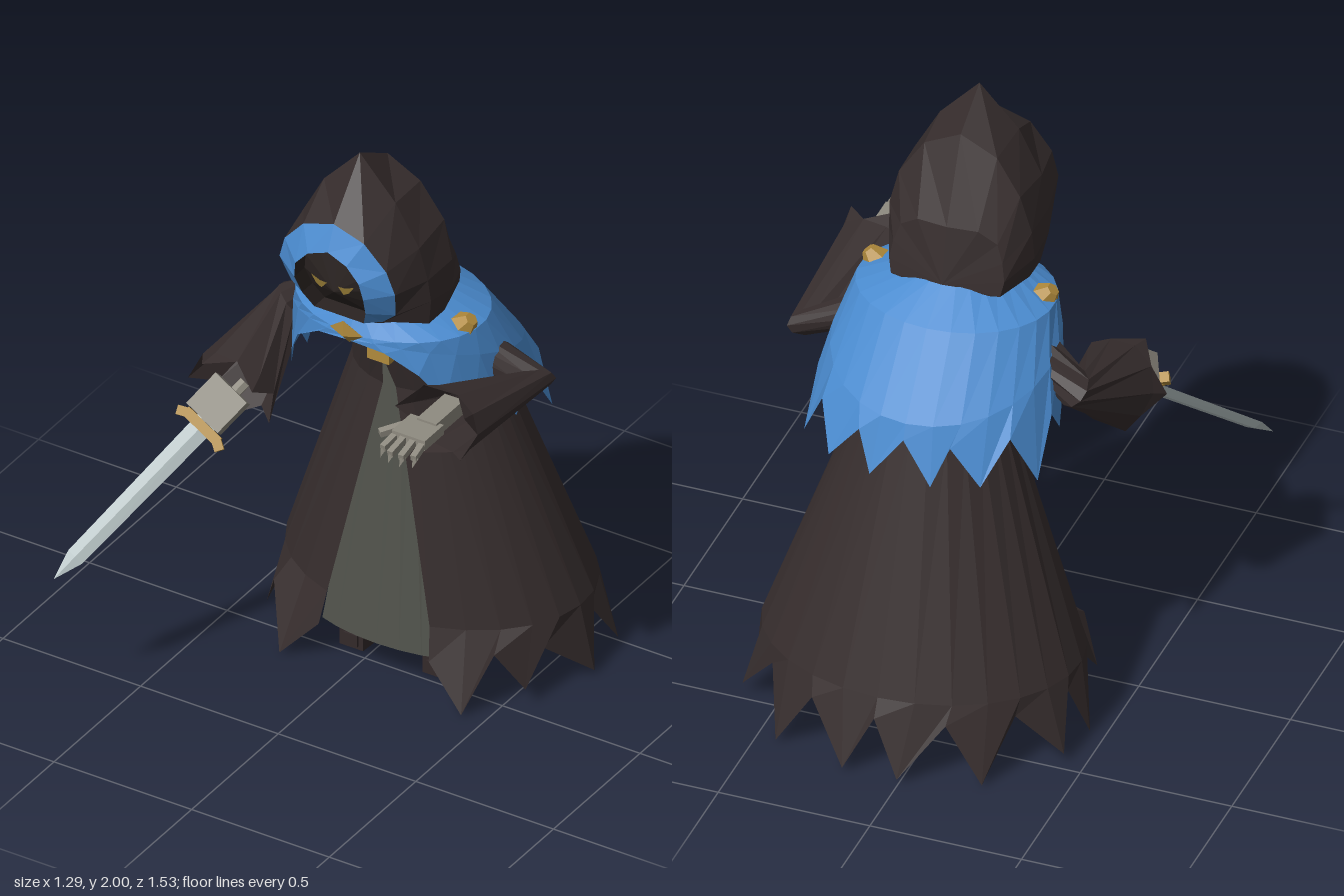
import * as THREE from 'three';

const CX = 0.095; // centre line of the body
const mat = (name, color) => new THREE.MeshStandardMaterial({ name, color, side: THREE.DoubleSide });
const M = {
  robe: mat('dark robe cloth', 0x362d2d),
  cape: mat('blue cloth', 0x4a8bcf),
  skirt: mat('grey cloth', 0x50524b),
  skin: mat('grey skin', 0x8f8b80),
  steel: mat('steel', 0xb4c0c1),
  gold: mat('gold', 0xb08a3c),
  eye: mat('dim amber', 0x8a7230),
  face: mat('shadowed face', 0x2a2321),
  boot: mat('boot leather', 0x33292a),
};

// flat-faced mesh
function part(name, geo, material, pos = [0, 0, 0], rot = [0, 0, 0]) {
  const g = geo.index ? geo.toNonIndexed() : geo;
  g.computeVertexNormals();
  const m = new THREE.Mesh(g, material);
  m.name = name;
  m.position.set(...pos);
  m.rotation.set(...rot);
  return m;
}

// skin a list of equal-length cross-sections
function loft(rings, closed = true) {
  const n = rings[0].length, pos = rings.flat(2), idx = [];
  for (let r = 0; r + 1 < rings.length; r++) {
    for (let i = 0; i < (closed ? n : n - 1); i++) {
      const a = r * n + i, b = r * n + (i + 1) % n;
      idx.push(a, b, a + n, b, b + n, a + n);
    }
  }
  const g = new THREE.BufferGeometry();
  g.setAttribute('position', new THREE.Float32BufferAttribute(pos, 3));
  g.setIndex(idx);
  return g;
}

// mirror half a section about the body centre line; `open` keeps both front edges
function mirror(half, open = false) {
  const other = half.slice(open ? 0 : 1, -1).reverse();
  return [...half.map(([x, y, z]) => [CX + x, y, z]), ...other.map(([x, y, z]) => [CX - x, y, z])];
}

// half ellipse from the front (angle t0) round to the back (angle t1)
function arc(n, rx, zFront, zBack, yFront, yBack, t0 = 0, t1 = Math.PI) {
  return Array.from({ length: n }, (_, i) => {
    const t = t0 + (t1 - t0) * i / (n - 1), k = (1 - Math.cos(t)) / 2;
    return [rx * Math.sin(t), yFront + (yBack - yFront) * k, zFront + (zBack - zFront) * k];
  });
}

// section shrunk to a point, closing a twelve-sided loft
const point = (y, z) => Array(12).fill([CX, y, z]);

// bent sleeve with a ragged cuff; each radius is [across, up]
function sleeve(path, radii) {
  const P = path.map(p => new THREE.Vector3(...p));
  const dirs = [P[1].clone().sub(P[0]).normalize(), P[2].clone().sub(P[1]).normalize()];
  const D = [dirs[0], dirs[0].clone().add(dirs[1]).normalize(), dirs[1], dirs[1]];
  P.push(P[2].clone());
  const rings = P.map((p, r) => {
    const u = new THREE.Vector3(0, 1, 0).cross(D[r]).normalize(), v = D[r].clone().cross(u);
    const [ru, rv] = radii[Math.min(r, 2)];
    return Array.from({ length: 10 }, (_, i) => {
      const t = i / 10 * Math.PI * 2, tip = r === 3 && i % 2, grow = tip ? 0.02 : 0;
      return p.clone().addScaledVector(u, Math.cos(t) * (ru + grow)).addScaledVector(v, Math.sin(t) * (rv + grow))
        .addScaledVector(D[r], tip ? 0.06 : 0).toArray();
    });
  });
  return loft(rings);
}

export function createModel() {
  const root = new THREE.Group();
  root.name = 'hoodedFigure';
  const add = (...a) => root.add(part(...a));

  // robe: closed torso, then a flaring coat split at the front with a ragged hem
  const hem = [[0.2, 0.15, 0.1], [0.33, 0.01, 0.12], [0.4, 0.21, 0.04], [0.47, 0.07, -0.03], [0.47, 0.17, -0.13],
    [0.55, 0.02, -0.3], [0.5, 0.2, -0.36], [0.53, 0.04, -0.47], [0.4, 0.2, -0.55], [0.34, 0.01, -0.68],
    [0.22, 0.2, -0.68], [0.09, 0.02, -0.76], [0, 0.2, -0.72]];
  add('robe', loft([
    mirror(arc(13, 0.15, 0.2, -0.12, 1.44, 1.44), true),
    mirror(arc(13, 0.19, 0.13, -0.22, 1.32, 1.32), true),
    mirror(arc(13, 0.185, 0.05, -0.32, 1.18, 1.18), true),
    mirror(arc(13, 0.235, 0.01, -0.42, 1.05, 1.05, 0.1), true),
    mirror(arc(13, 0.515, 0.1, -0.69, 0.26, 0.26, 0.37), true),
    mirror(hem, true),
  ], false), M.robe);

  // under-skirt panel showing through the split
  const skirtRow = (rx, zf, zb, y) => {
    const h = arc(4, rx, zf, zb, y, y, 0, 0.75);
    return [...h.slice(1).reverse().map(([x, b, z]) => [CX - x, b, z]), ...h.map(([x, b, z]) => [CX + x, b, z])];
  };
  add('underSkirt', loft([skirtRow(0.12, -0.02, -0.25, 1.17), skirtRow(0.32, 0.085, -0.18, 0.14)], false), M.skirt);

  // mantle: smooth over the shoulders, ragged at its edge
  const edge = [[0, 1.35, 0.25], [0.12, 1.33, 0.23], [0.22, 1.26, 0.19], [0.28, 1.15, 0.13], [0.33, 1.04, 0.05],
    [0.36, 1.12, -0.03], [0.38, 1.0, -0.12], [0.385, 1.1, -0.2], [0.385, 0.93, -0.32], [0.31, 1.09, -0.36],
    [0.25, 0.96, -0.46], [0.15, 1.08, -0.46], [0.1, 0.95, -0.5], [0, 1.08, -0.47]];
  add('mantle', loft([
    mirror(arc(14, 0.18, 0.22, -0.14, 1.41, 1.45)),
    mirror(arc(14, 0.32, 0.24, -0.27, 1.37, 1.37)),
    mirror(arc(14, 0.36, 0.245, -0.45, 1.36, 1.13)),
    mirror(edge),
  ]), M.cape);

  // hood, rim and face, each section running from top to bottom
  const rimOuter = [[0, 1.82, 0.33], [0.11, 1.785, 0.33], [0.185, 1.7, 0.32], [0.21, 1.62, 0.31], [0.19, 1.52, 0.275],
    [0.12, 1.45, 0.235], [0, 1.43, 0.23]];
  const rimInner = [[0, 1.735, 0.365], [0.07, 1.71, 0.37], [0.115, 1.66, 0.37], [0.125, 1.6, 0.36], [0.115, 1.53, 0.33],
    [0.09, 1.47, 0.3], [0, 1.47, 0.3]];
  const crown = [[0, 2, 0.18], [0.13, 1.86, 0.18], [0.21, 1.715, 0.17], [0.235, 1.6, 0.16], [0.24, 1.52, 0.15],
    [0.22, 1.42, 0.13], [0, 1.41, 0.13]];
  const rear = [[0, 1.91, 0.02], [0.12, 1.85, 0.02], [0.2, 1.73, 0.01], [0.235, 1.6, 0.02], [0.24, 1.5, 0.03],
    [0.22, 1.42, 0.04], [0, 1.41, 0.05]];
  const nape = [[0, 1.64, -0.1], [0.1, 1.64, -0.09], [0.16, 1.6, -0.08], [0.18, 1.54, -0.09], [0.19, 1.48, -0.1],
    [0.18, 1.43, -0.11], [0, 1.42, -0.14]];
  add('hood', loft([mirror(rimOuter), mirror(crown), mirror(rear), mirror(nape), point(1.45, -0.14)]), M.robe);
  add('hoodRim', loft([mirror(rimOuter), mirror(rimInner)]), M.cape);
  const recess = rimInner.map(([x, y, z]) => [x, y, z - 0.06]);
  add('face', loft([mirror(rimInner), mirror(recess), point(1.57, 0.33)]), M.face);
  for (const s of [-1, 1]) {
    const eye = new THREE.Shape([[0.02, 1.602], [0.04, 1.578], [0.06, 1.59], [0.078, 1.617], [0.045, 1.603]]
      .map(([x, y]) => new THREE.Vector2(s * x, y)));
    add('eye', new THREE.ShapeGeometry(eye), M.eye, [CX, 0, 0.338]);
  }

  // gold fittings
  add('clasp', new THREE.OctahedronGeometry(1).scale(0.06, 0.052, 0.022), M.gold, [CX, 1.385, 0.258], [0.35, 0, 0]);
  add('buckle', new THREE.BoxGeometry(0.08, 0.055, 0.03), M.gold, [CX, 1.2, 0.06]);
  for (const s of [-1, 1]) {
    add('shoulderStud', new THREE.CylinderGeometry(0.022, 0.054, 0.055, 6), M.gold, [CX + s * 0.288, 1.385, 0.02], [0, 0, -s * 0.7]);
  }

  // boots
  for (const s of [-1, 1]) {
    const x = CX + s * 0.15;
    add('leg', new THREE.BoxGeometry(0.065, 0.5, 0.08), M.boot, [x, 0.3, -0.19]);
    const side = new THREE.Shape([[-0.24, 0.005], [-0.01, 0.02], [-0.01, 0.085], [-0.15, 0.1], [-0.24, 0.1]]
      .map(([z, y]) => new THREE.Vector2(-z, y)));
    add('boot', new THREE.ExtrudeGeometry(side, { depth: 0.085, bevelEnabled: false }), M.boot, [x - 0.0425, 0, 0], [0, Math.PI / 2, 0]);
    add('toeCap', new THREE.BoxGeometry(0.05, 0.04, 0.009), M.boot, [x, 0.052, -0.008]);
  }

  // raised left arm with open hand
  add('leftSleeve', sleeve([[0.32, 1.27, -0.06], [0.545, 1.17, -0.09], [0.475, 1.215, 0.29]],
    [[0.07, 0.06], [0.08, 0.045], [0.135, 0.105]]), M.robe);
  const hand = new THREE.Group();
  hand.name = 'leftHand';
  hand.position.set(0.46, 1.235, 0.38);
  hand.add(part('wrist', new THREE.BoxGeometry(0.07, 0.05, 0.16), M.skin, [0.01, 0, -0.07]));
  hand.add(part('palm', new THREE.BoxGeometry(0.12, 0.035, 0.11), M.skin, [0, 0, 0.045]));
  [-0.048, -0.017, 0.017, 0.048].forEach((x, i) => {
    const len = [0.06, 0.075, 0.075, 0.06][i];
    hand.add(part('finger', new THREE.BoxGeometry(0.02, 0.022, len), M.skin, [x * 1.1, -0.008, 0.1 + len / 2], [0.2, x * 2, 0]));
    hand.add(part('claw', new THREE.ConeGeometry(0.011, 0.035, 4), M.skin, [x * 1.2, -0.03, 0.1 + len], [2.5, 0, 0]));
  });
  hand.add(part('thumb', new THREE.BoxGeometry(0.022, 0.022, 0.08), M.skin, [-0.085, -0.01, 0.06], [0.2, -0.7, 0]));
  root.add(hand);

  // lowered right arm
  add('rightSleeve', sleeve([[-0.14, 1.28, -0.05], [-0.33, 1.15, -0.11], [-0.355, 1.0, 0.165]],
    [[0.08, 0.07], [0.075, 0.06], [0.135, 0.135]]), M.robe);

  // sword and fist share one frame, z along the blade
  const sword = new THREE.Group();
  sword.name = 'swordArm';
  const zAxis = new THREE.Vector3(-0.255, -0.4, 0.445).normalize();
  const xAxis = new THREE.Vector3(0.85, -0.53, 0);
  xAxis.addScaledVector(zAxis, -xAxis.dot(zAxis)).normalize();
  sword.quaternion.setFromRotationMatrix(new THREE.Matrix4().makeBasis(xAxis, zAxis.clone().cross(xAxis), zAxis));
  sword.position.set(-0.39, 0.9, 0.32);
  const row = (w, t, z) => [[w, 0, z], [0, t, z], [-w, 0, z], [0, -t, z]];
  sword.add(part('blade', loft([row(0.036, 0.014, -0.02), row(0.03, 0.011, 0.56), row(0, 0, 0.655)]), M.steel));
  sword.add(part('guard', new THREE.BoxGeometry(0.14, 0.04, 0.032), M.gold));
  for (const s of [-1, 1]) {
    sword.add(part('guardTip', new THREE.BoxGeometry(0.035, 0.034, 0.03), M.gold, [s * 0.076, 0, 0.008], [0, -s * 0.5, 0]));
  }
  sword.add(part('grip', new THREE.CylinderGeometry(0.02, 0.02, 0.2, 6), M.skin, [0, 0, -0.09], [Math.PI / 2, 0, 0]));
  sword.add(part('fist', new THREE.BoxGeometry(0.135, 0.13, 0.13), M.skin, [-0.012, 0.012, -0.085]));
  root.add(sword);

  return root;
}
